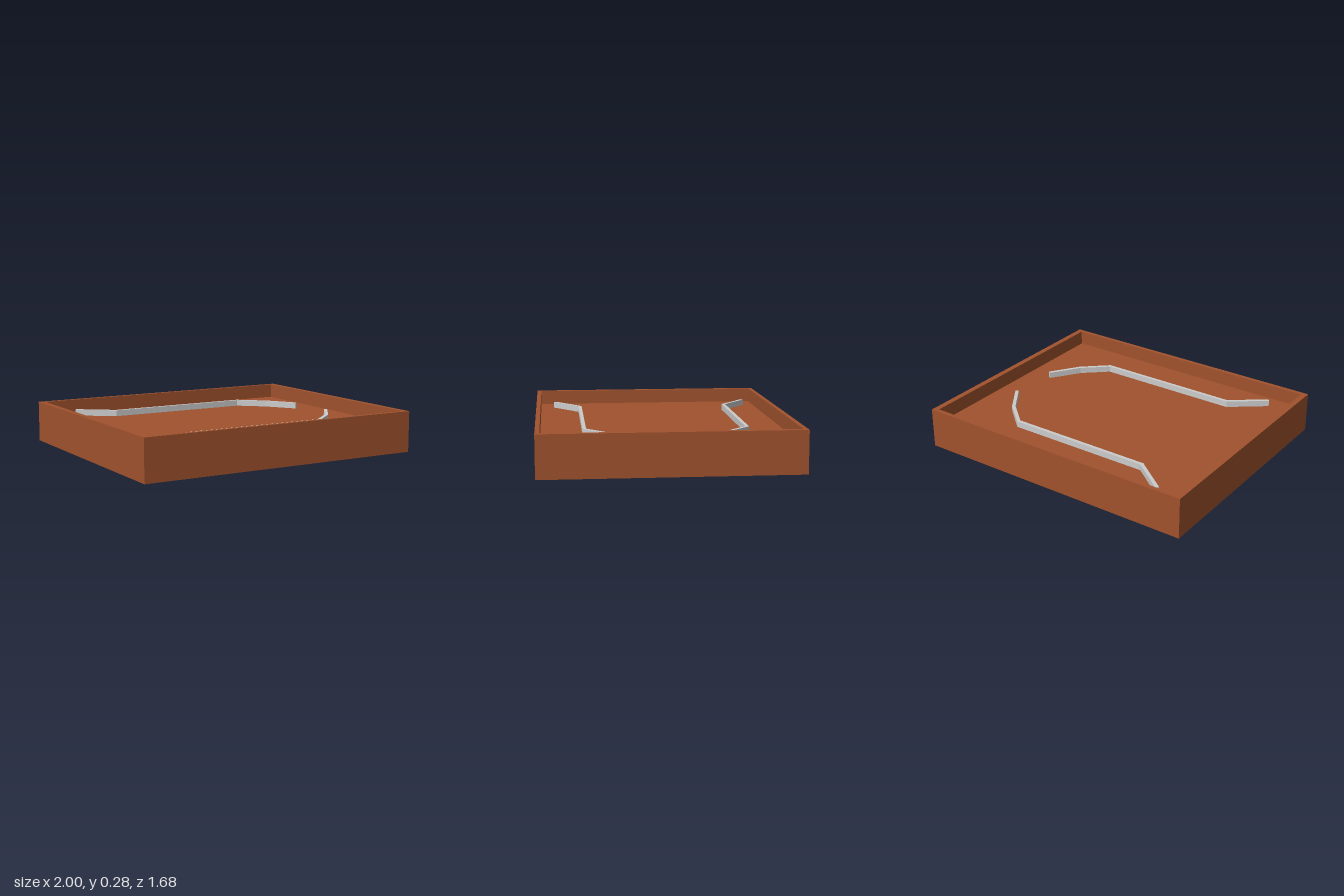
import * as THREE from 'three';

const HALF_X = 1, HALF_Z = 0.84, HEIGHT = 0.28, FLOOR = 0.18, WALL_X = 0.04, WALL_Z = 0.03;

const brown = new THREE.MeshStandardMaterial({ color: 0xa0522d });
const brownSheet = new THREE.MeshStandardMaterial({ color: 0xa0522d, side: THREE.DoubleSide });
const grey = new THREE.MeshStandardMaterial({ color: 0xcccccc });

function addMesh(parent, name, geometry, material) {
  const mesh = new THREE.Mesh(geometry, material);
  mesh.name = name;
  parent.add(mesh);
  return mesh;
}

// Extrudes a plan outline, given as (x, -z), between two heights
function extrudeUp(shape, bottom, top) {
  const geometry = new THREE.ExtrudeGeometry(shape, { depth: top - bottom, bevelEnabled: false });
  return geometry.rotateX(-Math.PI / 2).translate(0, bottom, 0);
}

function rectangle(hx, hz) {
  return [[-hx, -hz], [hx, -hz], [hx, hz], [-hx, hz]].map(([x, y]) => new THREE.Vector2(x, y));
}

// Widens a polyline into a strip with mitred corners
function stripShape(path, width) {
  const pts = path.map(([x, z]) => new THREE.Vector2(x, -z));
  const normal = (a, b) => {
    const d = b.clone().sub(a).normalize();
    return new THREE.Vector2(-d.y, d.x);
  };
  const left = [], right = [];
  pts.forEach((p, i) => {
    const n1 = normal(pts[Math.max(i - 1, 0)], pts[Math.max(i, 1)]);
    const last = pts.length - 1;
    const n2 = normal(pts[Math.min(i, last - 1)], pts[Math.min(i + 1, last)]);
    const mitre = n1.clone().add(n2).normalize();
    mitre.multiplyScalar(width / 2 / mitre.dot(n1));
    left.push(p.clone().add(mitre));
    right.unshift(p.clone().sub(mitre));
  });
  return new THREE.Shape([...left, ...right]);
}

export function createModel() {
  const model = new THREE.Group();
  model.name = 'tray';

  // Raised rim around the floor
  const rim = new THREE.Shape(rectangle(HALF_X, HALF_Z));
  rim.holes.push(new THREE.Path(rectangle(HALF_X - WALL_X, HALF_Z - WALL_Z)));
  addMesh(model, 'rim', extrudeUp(rim, FLOOR, HEIGHT), brown);

  // Floor sheet
  const floor = new THREE.PlaneGeometry(HALF_X * 2, HALF_Z * 2).rotateX(-Math.PI / 2);
  addMesh(model, 'floor', floor, brownSheet).position.y = FLOOR;

  // Thin skirt under the floor, open at the bottom
  const skirt = new THREE.Group();
  skirt.name = 'skirt';
  model.add(skirt);
  ['frontSkirt', 'leftSkirt', 'backSkirt', 'rightSkirt'].forEach((name, i) => {
    const [halfWidth, offset] = i % 2 ? [HALF_Z, HALF_X] : [HALF_X, HALF_Z];
    const side = new THREE.PlaneGeometry(halfWidth * 2, FLOOR);
    side.translate(0, FLOOR / 2, offset).rotateY(i * Math.PI / 2);
    addMesh(skirt, name, side, brownSheet);
  });

  // Two bent rails that pass through the floor, mirrored about z = -0.01
  const path = [[-0.765, 0.715], [-0.53, 0.535], [0.48, 0.535], [0.65, 0.385], [0.785, 0.187]];
  for (const [name, sign] of [['frontRail', 1], ['backRail', -1]]) {
    const line = path.map(([x, z]) => [x, sign * z - 0.01]);
    addMesh(model, name, extrudeUp(stripShape(line, 0.024), 0.15, 0.222), grey);
  }

  return model;
}
